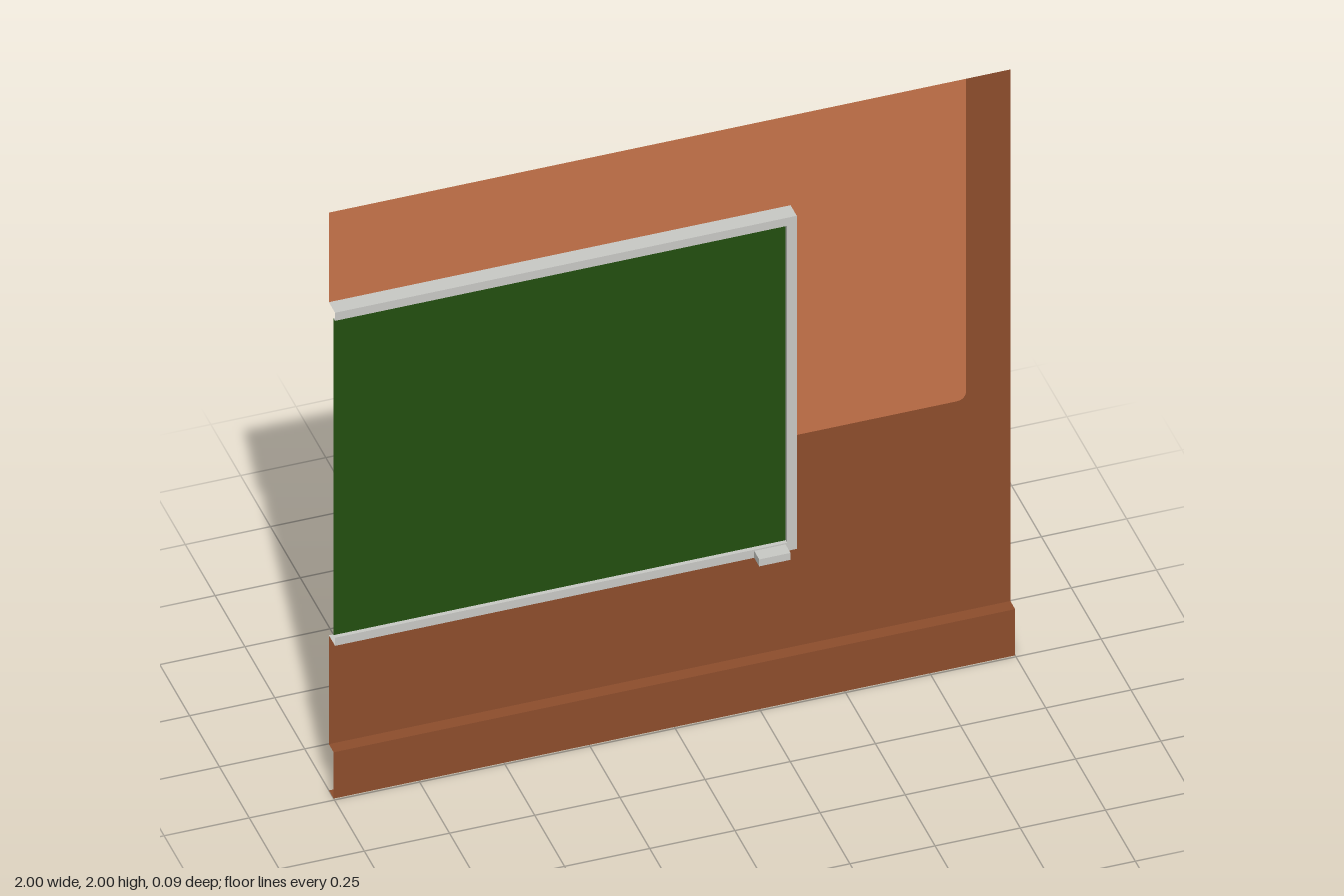
import * as THREE from 'three';

const BACK = -0.047, FRONT = 0.005, SKIRT = -0.007;

function material(name, color) {
  const m = new THREE.MeshStandardMaterial({ color, side: THREE.DoubleSide });
  m.name = name;
  return m;
}

// Flat-shaded surface joining successive cross-sections
function loft(sections) {
  const pos = [];
  for (let i = 0; i < sections.length - 1; i++) {
    for (let j = 0; j < sections[i].length - 1; j++) {
      const a = sections[i][j], b = sections[i][j + 1];
      const c = sections[i + 1][j + 1], d = sections[i + 1][j];
      pos.push(...a, ...b, ...c, ...a, ...c, ...d);
    }
  }
  const g = new THREE.BufferGeometry();
  g.setAttribute('position', new THREE.Float32BufferAttribute(pos, 3));
  g.computeVertexNormals();
  return g;
}

export function createModel() {
  const group = new THREE.Group();
  const brown = material('brown paint', 0x8d4d2c);
  const orange = material('orange paint', 0xc6734a);
  const green = material('board green', 0x224e10);
  const grey = material('frame grey', 0xc8c9c5);

  function add(name, geometry, mat, x = 0, y = 0, z = 0) {
    const mesh = new THREE.Mesh(geometry, mat);
    mesh.name = name;
    mesh.position.set(x, y, z);
    group.add(mesh);
    return mesh;
  }

  const right = 0.355, top = 1.69, bottom = 0.537, skirtTop = 0.16;

  // Wall sheet, open behind the board and the skirting
  const lower = new THREE.Shape();
  lower.moveTo(-1, skirtTop);
  lower.lineTo(1, skirtTop);
  lower.lineTo(1, 2);
  lower.lineTo(0.87, 2);
  lower.lineTo(0.87, 0.92);
  lower.quadraticCurveTo(0.87, 0.89, 0.84, 0.89);
  lower.lineTo(right, 0.89);
  lower.lineTo(right, bottom);
  lower.lineTo(-1, bottom);
  add('lowerWall', new THREE.ShapeGeometry(lower, 6), brown, 0, 0, BACK);

  const upper = new THREE.Shape();
  upper.moveTo(-1, 2);
  upper.lineTo(-1, top);
  upper.lineTo(right, top);
  upper.lineTo(right, 0.89);
  upper.lineTo(0.84, 0.89);
  upper.quadraticCurveTo(0.87, 0.89, 0.87, 0.92);
  upper.lineTo(0.87, 2);
  add('upperWall', new THREE.ShapeGeometry(upper, 6), orange, 0, 0, BACK);

  // Skirting: hollow channel, closed at the +x end only
  const channel = [[skirtTop, BACK], [skirtTop, SKIRT], [0, SKIRT], [0, BACK]];
  add('skirting', loft([-1, 1].map(x => channel.map(([y, z]) => [x, y, z]))), brown);
  const cap = add('skirtingEnd', new THREE.PlaneGeometry(SKIRT - BACK, skirtTop), brown,
    1, skirtTop / 2, (SKIRT + BACK) / 2);
  cap.rotation.y = Math.PI / 2;

  // Three-sided mitred frame: [inset, z] profile carried around the board
  const profile = [[0, BACK], [0, FRONT], [0.028, FRONT], [0.028, -0.008]];
  const corners = [[-1, top, 0, -1], [right, top, -1, -1], [right, bottom, -1, 1], [-1, bottom, 0, 1]];
  add('boardFrame', loft(corners.map(([x, y, dx, dy]) =>
    profile.map(([inset, z]) => [x + dx * inset, y + dy * inset, z]))), grey);

  // Writing surface
  const w = right - 0.028 + 1, h = top - bottom - 0.056;
  add('writingBoard', new THREE.PlaneGeometry(w, h), green, -1 + w / 2, (top + bottom) / 2, -0.008);

  // Small chalk ledge
  add('chalkLedge', new THREE.BoxGeometry(0.092, 0.024, 0.042), grey, 0.276, bottom + 0.012, 0.026);

  return group;
}
